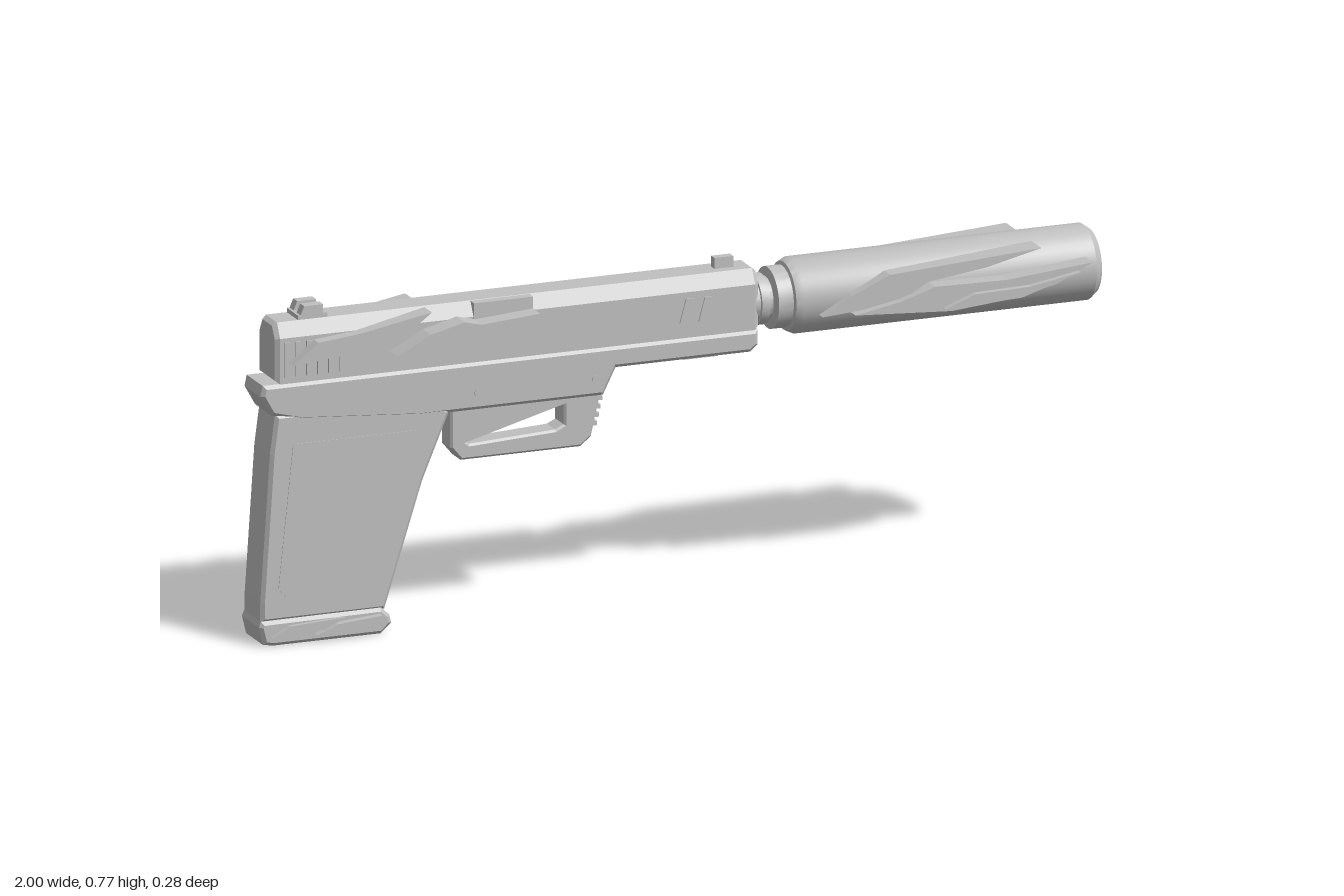
import * as THREE from 'three';
import { toCreasedNormals } from 'three/addons/utils/BufferGeometryUtils.js';

const grey = new THREE.MeshStandardMaterial({ color: 0xc0c0c0 });
grey.name = 'plain grey';

export function createModel() {
  const model = new THREE.Group();
  model.name = 'toyPistol';

  const add = (name, geo) => {
    const mesh = new THREE.Mesh(geo, grey);
    mesh.name = name;
    model.add(mesh);
    return mesh;
  };
  const box = (name, x0, x1, y0, y1, z0, z1) => {
    const g = new THREE.BoxGeometry(x1 - x0, y1 - y0, z1 - z0);
    g.translate((x0 + x1) / 2, (y0 + y1) / 2, (z0 + z1) / 2);
    return add(name, g);
  };
  const toShape = pts => new THREE.Shape(pts.map(p => new THREE.Vector2(...p)));
  // Side outline (x, y) given thickness from z0 to z1, with chamfered edges
  const plate = (name, pts, z0, z1, bevel = 0, hole = null) => {
    const shape = toShape(pts);
    if (hole) shape.holes.push(new THREE.Path(hole.map(p => new THREE.Vector2(...p))));
    const g = new THREE.ExtrudeGeometry(shape, {
      depth: z1 - z0 - 2 * bevel, bevelEnabled: bevel > 0, bevelThickness: bevel,
      bevelSize: bevel, bevelOffset: -bevel, bevelSegments: 1,
    });
    g.translate(0, 0, z0 + bevel);
    return add(name, g);
  };
  const bothSides = (name, pts, z0, z1, bevel = 0) => {
    plate(name + 'Left', pts, z0, z1, bevel);
    plate(name + 'Right', pts, -z1, -z0, bevel);
  };

  // Slide: chamfered cross-section run along x
  const half = [[0.052, 0.6], [0.052, 0.705], [0.033, 0.738]];
  const section = toShape([...half, ...half.map(([z, y]) => [-z, y]).reverse()]);
  const slide = new THREE.ExtrudeGeometry(section, {
    depth: 1.13, bevelEnabled: true, bevelThickness: 0.01, bevelSize: 0.008,
    bevelOffset: -0.008, bevelSegments: 1,
  });
  slide.rotateY(Math.PI / 2);
  slide.translate(-0.95, 0, 0);
  add('slide', slide);
  plate('ejectionPort', [[-0.49, 0.7], [-0.35, 0.7], [-0.35, 0.737], [-0.49, 0.737]], -0.015, 0.056);

  // Rear grip ribs and slanted front ribs
  for (let i = 0; i < 6; i++) {
    const x = -0.94 + i * 0.026;
    bothSides('rearRib', [[x, 0.615], [x + 0.013, 0.615], [x + 0.013, 0.695], [x, 0.695]], 0.05, 0.056);
  }
  for (let i = 0; i < 2; i++) {
    const x = 0.0 + i * 0.045;
    bothSides('frontRib', [[x, 0.635], [x + 0.02, 0.635], [x + 0.035, 0.69], [x + 0.015, 0.69]], 0.05, 0.055);
  }

  // Sights
  box('rearSightBase', -0.9, -0.83, 0.735, 0.748, -0.033, 0.033);
  const sightOutline = [[-0.895, 0.745], [-0.84, 0.745], [-0.84, 0.768], [-0.885, 0.768]];
  bothSides('rearSightPost', sightOutline, 0.009, 0.033);
  box('frontSight', 0.1, 0.145, 0.735, 0.763, -0.01, 0.01);

  // Frame
  plate('frame', [
    [-0.99, 0.6], [-0.995, 0.575], [-0.97, 0.53], [-0.9, 0.512], [-0.62, 0.49], [-0.18, 0.49],
    [-0.15, 0.55], [0.17, 0.55], [0.188, 0.565], [0.188, 0.6],
  ], -0.055, 0.055, 0.008);
  box('accessoryRail', 0.02, 0.1, 0.543, 0.555, -0.03, 0.03);
  add('railHook', new THREE.TorusGeometry(0.012, 0.004, 6, 12).translate(-0.035, 0.548, -0.02));

  // Grip with raised side panels
  plate('grip', [
    [-0.96, 0.53], [-0.972, 0.44], [-0.995, 0.1], [-0.995, 0.055], [-0.7, 0.055],
    [-0.61, 0.34], [-0.545, 0.495], [-0.6, 0.53],
  ], -0.054, 0.054, 0.008);
  bothSides('gripPanel', [
    [-0.92, 0.46], [-0.955, 0.13], [-0.93, 0.1], [-0.745, 0.1], [-0.66, 0.36], [-0.63, 0.46],
  ], 0.053, 0.0555);
  plate('magazineBase', [
    [-0.995, 0.058], [-1, 0.045], [-0.99, 0.004], [-0.965, 0], [-0.71, 0], [-0.685, 0.022],
    [-0.69, 0.042], [-0.71, 0.06],
  ], -0.058, 0.058, 0.008);

  // Trigger guard, its front ridges and the trigger
  plate('triggerGuard', [
    [-0.535, 0.5], [-0.535, 0.4], [-0.51, 0.37], [-0.225, 0.37], [-0.2, 0.39], [-0.175, 0.5],
  ], -0.029, 0.029, 0.005, [
    [-0.515, 0.492], [-0.265, 0.492], [-0.265, 0.425], [-0.285, 0.415], [-0.49, 0.405], [-0.515, 0.425],
  ]);
  for (let i = 0; i < 4; i++) {
    const y = 0.415 + i * 0.019;
    box('guardRidge', -0.205, -0.186 + i * 0.004, y, y + 0.01, -0.028, 0.028);
  }
  plate('trigger', [
    [-0.415, 0.5], [-0.398, 0.46], [-0.425, 0.437], [-0.415, 0.433], [-0.385, 0.455], [-0.38, 0.5],
  ], -0.012, 0.012);

  // Controls on the right side and pins on both
  box('slideStop', -0.3, -0.235, 0.562, 0.588, -0.061, -0.05);
  box('takedownPlate', -0.455, -0.385, 0.558, 0.584, -0.061, -0.05);
  for (let i = 0; i < 4; i++)
    box('magazineRelease', -0.61, -0.575, 0.402 + i * 0.012, 0.41 + i * 0.012, -0.065, -0.045);
  box('magazineReleaseBody', -0.612, -0.573, 0.4, 0.449, -0.06, -0.045);
  for (const [x, y] of [[-0.48, 0.53], [-0.2, 0.53]]) {
    const g = new THREE.CylinderGeometry(0.009, 0.009, 0.116, 12);
    g.rotateX(Math.PI / 2).translate(x, y, 0);
    add('pin', g);
  }

  // Barrel, collar and hollow muzzle tube, turned about x
  const tube = new THREE.LatheGeometry([
    [0, 0.15], [0.05, 0.15], [0.05, 0.225], [0.07, 0.23], [0.07, 0.265], [0.078, 0.268],
    [0.086, 0.285], [0.086, 0.98], [0.073, 0.997], [0.045, 0.997], [0.042, 0.99],
    [0.021, 0.99], [0.021, 0.9], [0, 0.9],
  ].map(p => new THREE.Vector2(...p)), 40);
  tube.rotateZ(-Math.PI / 2).translate(0, 0.655, 0);
  add('muzzleTube', toCreasedNormals(tube, 0.5));
  const ring = new THREE.CylinderGeometry(0.058, 0.058, 0.02, 32);
  ring.rotateZ(Math.PI / 2).translate(0.205, 0.655, 0);
  add('barrelRing', toCreasedNormals(ring, 0.5));

  // Layered feather blades on the tube
  bothSides('tubeUpperBlade', [
    [0.32, 0.628], [0.39, 0.67], [0.48, 0.708], [0.84, 0.73], [0.71, 0.7], [0.57, 0.682], [0.5, 0.64],
  ], 0.045, 0.105);
  bothSides('tubeLowerBlade', [
    [0.39, 0.63], [0.5, 0.65], [0.58, 0.675], [0.75, 0.672], [0.955, 0.69], [0.87, 0.65], [0.77, 0.628], [0.62, 0.615],
  ], 0.07, 0.125);
  bothSides('tubeOuterBlade', [
    [0.6, 0.626], [0.67, 0.652], [0.8, 0.655], [0.92, 0.675], [0.78, 0.632],
  ], 0.12, 0.14);

  // Layered feather blades on the slide
  bothSides('slideRearBlade', [
    [-0.93, 0.648], [-0.87, 0.695], [-0.77, 0.705], [-0.6, 0.735], [-0.66, 0.69], [-0.73, 0.667],
  ], 0.035, 0.08);
  bothSides('slideFrontBlade', [
    [-0.69, 0.648], [-0.61, 0.69], [-0.53, 0.71], [-0.49, 0.7], [-0.35, 0.71], [-0.44, 0.665], [-0.56, 0.645],
  ], 0.04, 0.1);

  // Small blades on the magazine base
  bothSides('baseRearBlade', [[-0.975, 0.022], [-0.93, 0.045], [-0.8, 0.052], [-0.85, 0.028]], 0.05, 0.068);
  bothSides('baseFrontBlade', [[-0.87, 0.02], [-0.82, 0.04], [-0.715, 0.048], [-0.76, 0.024]], 0.05, 0.075);

  return model;
}
